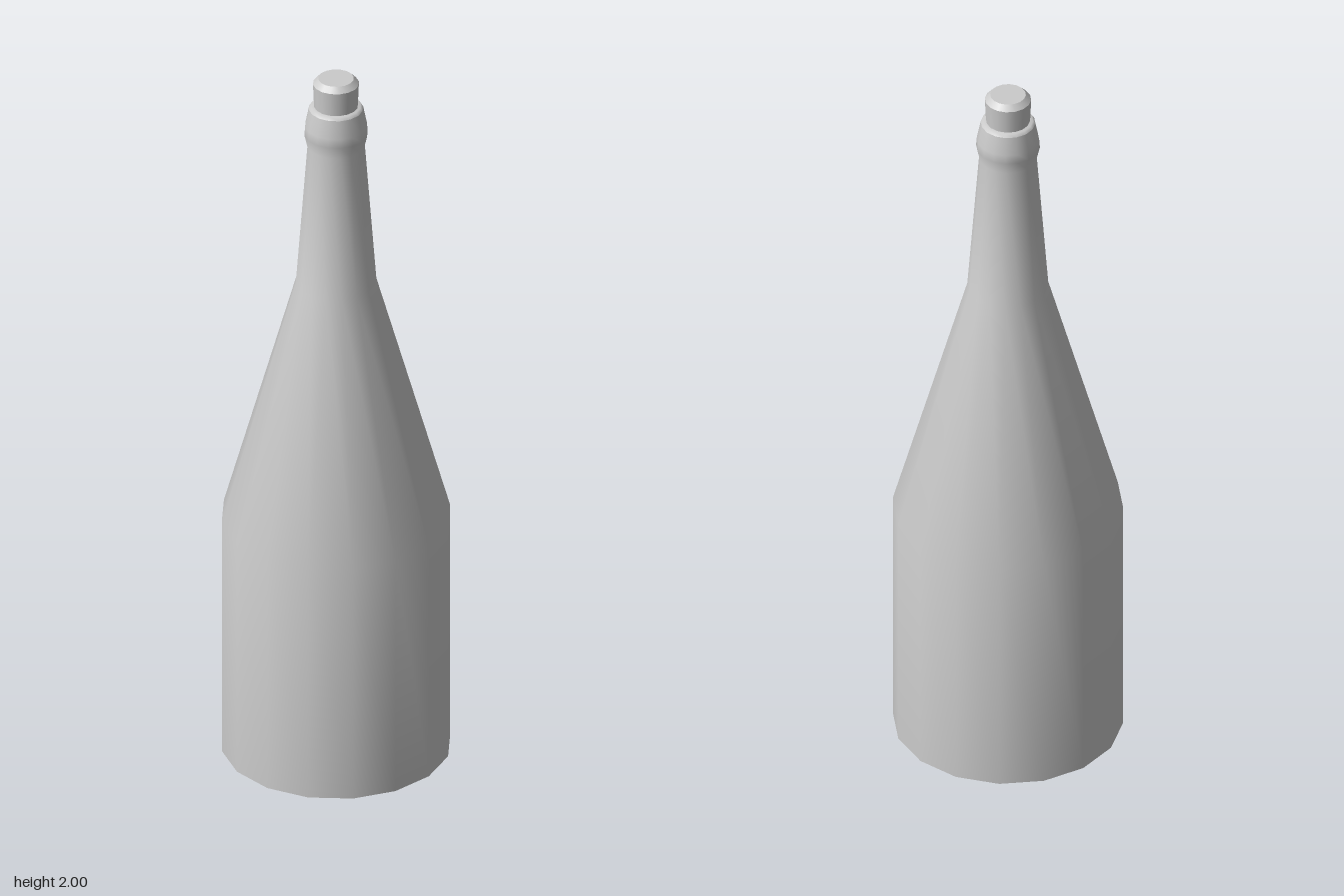
import * as THREE from 'three';

const SIDES = 16;

// Surface of revolution from [radius, height] pairs, listed bottom to top
function turned(name, profile, material) {
  const points = profile.map(([r, y]) => new THREE.Vector2(r, y));
  const mesh = new THREE.Mesh(new THREE.LatheGeometry(points, SIDES), material);
  mesh.name = name;
  return mesh;
}

export function createModel() {
  const group = new THREE.Group();
  group.name = 'bottle';
  const material = new THREE.MeshStandardMaterial({ color: 0xcccccc });

  // Flat underside, kept apart from the body for a sharp rim
  group.add(turned('base', [[0, 0], [0.303, 0]], material));

  // Cylindrical body, long tapering shoulder, slim neck and bulging collar
  group.add(turned('body', [
    [0.303, 0], [0.303, 0.69], [0.107, 1.39], [0.076, 1.8],
    [0.084, 1.835], [0.082, 1.86], [0.072, 1.91],
  ], material));

  // Flat rim around the mouth
  group.add(turned('rim', [[0.072, 1.91], [0.066, 1.918], [0.05, 1.918]], material));

  // Stopper with a bevelled upper edge
  group.add(turned('stopper', [[0.058, 1.915], [0.061, 1.985]], material));
  group.add(turned('stopperBevel', [[0.061, 1.985], [0.047, 2]], material));
  group.add(turned('stopperTop', [[0.047, 2], [0, 2]], material));

  return group;
}
